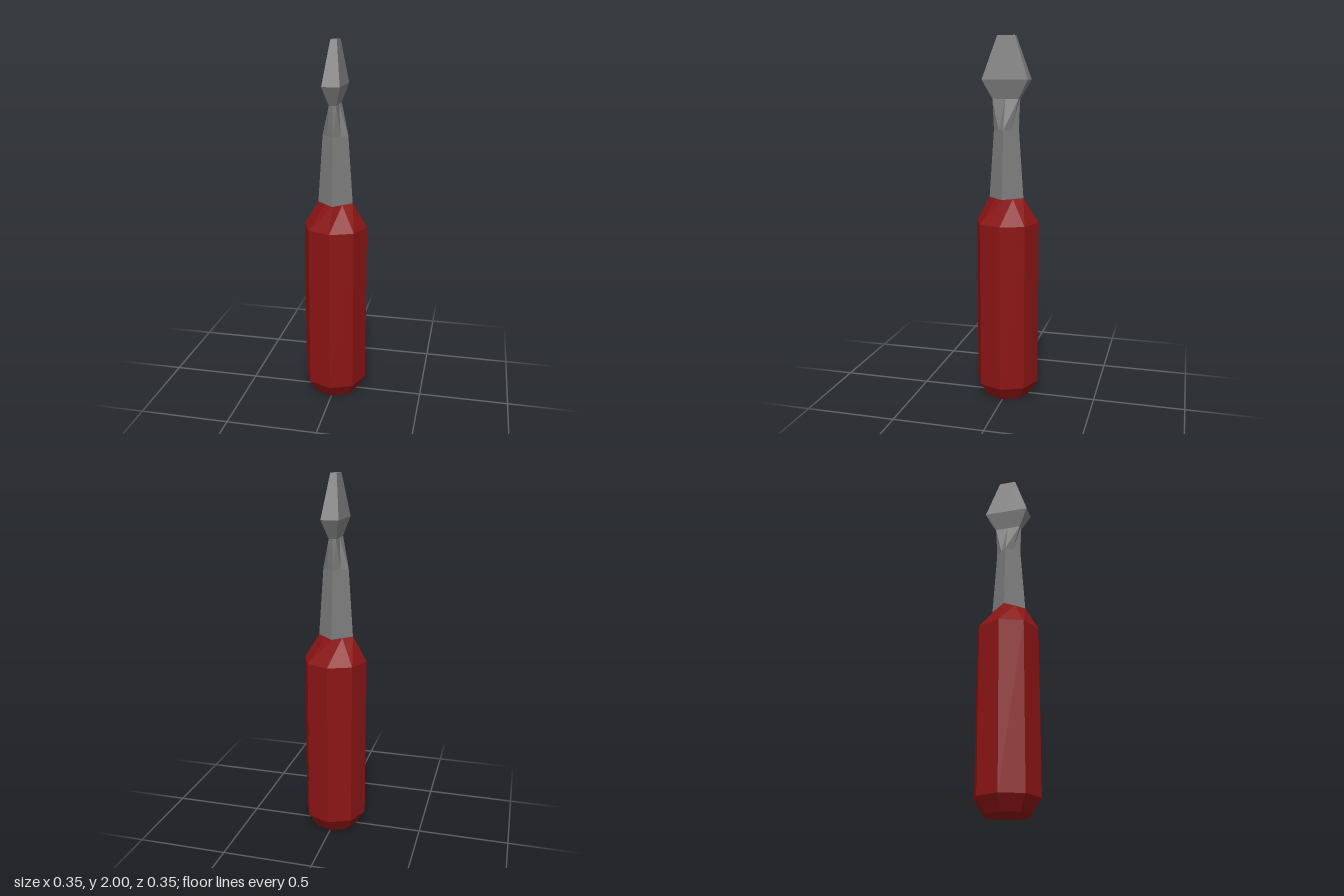
import * as THREE from 'three';

// Eight-point ring: points on the x and z axes (ax, az) and diagonal points (dx, dz).
const ring = (y, ax, az, dx, dz, cz = 0) => [
  [ax, 0], [dx, -dz], [0, -az], [-dx, -dz], [-ax, 0], [-dx, dz], [0, az], [dx, dz],
].map(([x, z]) => [x, y, z + cz]);

const octagon = (y, r) => ring(y, r, r, r * Math.SQRT1_2, r * Math.SQRT1_2);
const diamond = (y, r, cz) => ring(y, r, r, r / 2, r / 2, cz);
const rectangle = (y, x, z, cz) => ring(y, x, z, x, z, cz);

// Skin the rings from bottom to top and close both ends.
function loft(name, rings, color) {
  const pos = [];
  const tri = (a, b, c) => pos.push(...a, ...b, ...c);
  const n = 8;
  for (let k = 0; k < rings.length - 1; k++) {
    const lo = rings[k], hi = rings[k + 1];
    for (let i = 0; i < n; i++) {
      const j = (i + 1) % n;
      tri(lo[i], lo[j], hi[j]);
      tri(lo[i], hi[j], hi[i]);
    }
  }
  const bottom = rings[0], top = rings[rings.length - 1];
  for (let i = 1; i < n - 1; i++) {
    tri(bottom[0], bottom[i + 1], bottom[i]);
    tri(top[0], top[i], top[i + 1]);
  }
  const geo = new THREE.BufferGeometry();
  geo.setAttribute('position', new THREE.Float32BufferAttribute(pos, 3));
  geo.computeVertexNormals();
  const mesh = new THREE.Mesh(geo, new THREE.MeshStandardMaterial({ color, flatShading: true }));
  mesh.name = name;
  return mesh;
}

export function createModel() {
  const group = new THREE.Group();
  group.name = 'screwdriver';
  const red = 0x8b1414, steel = 0x808080;
  const cz = 0.007; // the steel sits slightly forward of the handle axis

  // Octagonal grip, chamfered below, with shoulders narrowing to the square shaft
  group.add(loft('handle', [
    octagon(0, 0.124), octagon(0.08, 0.176), octagon(1.0, 0.176), diamond(1.135, 0.096, cz),
  ], red));

  // Square shaft turned on its corner, pinched to a thin neck
  group.add(loft('shaft', [
    diamond(1.135, 0.096, cz), diamond(1.505, 0.07, cz), rectangle(1.67, 0.02, 0.072, cz),
  ], steel));

  // Flared flat blade
  group.add(loft('blade', [
    rectangle(1.67, 0.02, 0.072, cz), rectangle(1.77, 0.048, 0.126, 0.005), rectangle(2.0, 0.017, 0.048, 0.005),
  ], steel));

  return group;
}
